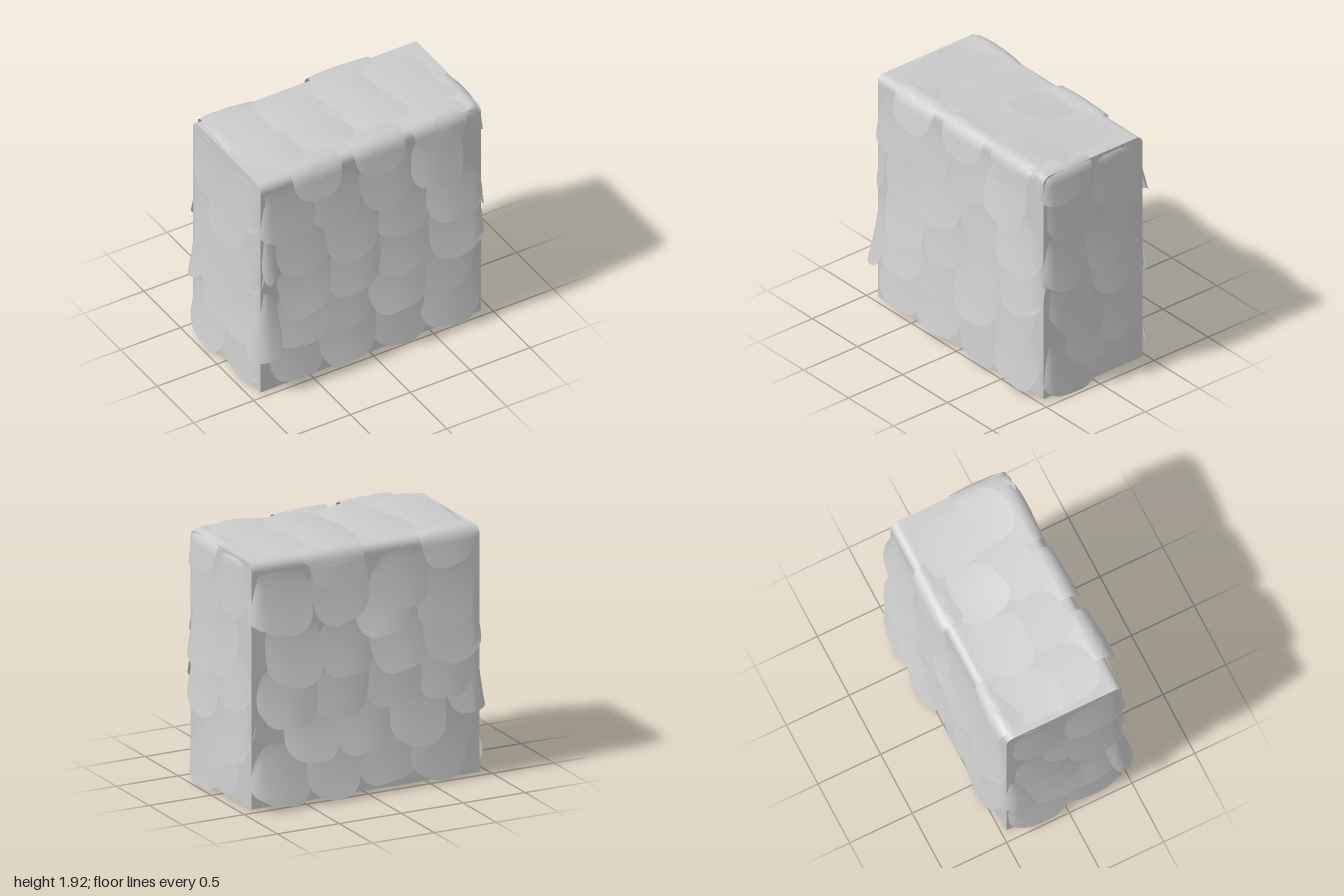
import * as THREE from 'three';

const HX = 0.92, HZ = 0.46, TOP = 1.84, R = 0.06;
const QUARTER = Math.PI / 2;

// Small seeded generator for the natural variation of the leaves
let seed = 7;
const jitter = (range) => {
  seed = (seed * 16807) % 2147483647;
  return (seed / 2147483647 - 0.5) * 2 * range;
};

// Fold a distance s, measured along a face, round the rounded edge at +-H.
// d is the height above the face. Returns [position along face, height].
function fold(s, d, H) {
  const over = Math.abs(s) - (H - R);
  if (over <= 0) return [s, d];
  const t = Math.min(over / R, QUARTER);
  const rest = Math.max(0, over - R * QUARTER);
  return [Math.sign(s) * (H - R + (R + d) * Math.sin(t)), (R + d) * Math.cos(t) - R - rest];
}

// Shingle rows from the bottom up: [height, leaf count, sideways shift, spacing]
const FACES = [
  { name: 'front', turn: [0, 0], depth: HZ, half: HX, edge: TOP, lift: 0.065, slope: 0, rows: [
    [0.25, 4, 0.01], [0.57, 4, 0], [0.86, 4, 0.05], [1.2, 4, 0.04], [1.52, 4, -0.09], [1.84, 3, 0.06, 0.53]] },
  { name: 'back', turn: [0, 2], depth: HZ, half: HX, edge: TOP, lift: 0.08, slope: 0, rows: [
    [0.25, 4, -0.06], [0.54, 3, -0.03], [0.83, 4, 0], [1.11, 4, 0.04], [1.36, 2, 0.36, 0.52],
    [1.54, 3, -0.22, 0.48], [1.79, 2, 0.2, 0.92]] },
  { name: 'left', turn: [0, 1], depth: HX, half: HZ, edge: TOP, lift: 0.055, slope: 0.3, rows: [
    [0.27, 2, -0.08, 0.32], [0.46, 2, 0.1, 0.28], [0.82, 2, 0], [1.14, 2, -0.08, 0.3], [1.55, 2, 0], [1.86, 1, -0.25]] },
  { name: 'right', turn: [0, -1], depth: HX, half: HZ, edge: TOP, lift: 0.045, slope: 0, rows: [
    [0.25, 2, 0], [0.57, 2, 0.09, 0.3], [0.8, 1, -0.1], [1.06, 2, 0.04], [1.32, 1, 0.04], [1.56, 2, 0.02]] },
  { name: 'top', turn: [-1, 0], depth: TOP, half: HX, edge: HZ, lift: 0.04, slope: 0, rows: [
    [0.17, 4, -0.06, 0.44], [-0.14, 4, 0, 0.44]] }
];

// Odd leaves at the corners: [across, up, width, height, turn in degrees, tip lift]
const STRAYS = {
  front: [[-0.85, 1.19, 0.11, 0.44, 2, 0.04], [-0.9, 0.6, 0.24, 0.54, 6, 0.09]],
  back: [[0.86, 0.7, 0.46, 0.42, 3, 0.05]],
  top: [[0.28, 0.42, 0.52, 0.22, 178, 0.04]]
};

// Lay out the shingle rows of one face
function rowLeaves({ rows, lift, slope }) {
  return rows.flatMap(([y, count, shift, step = 0.42]) =>
    Array.from({ length: count }, (_, c) => {
      const x = shift + (c - (count - 1) / 2) * step;
      return [x + jitter(0.015), y + slope * x + jitter(0.02), 0.45 + jitter(0.025),
        0.44 + jitter(0.025), jitter(7), lift * (1 + jitter(0.4))];
    }));
}

// A thin rounded-square leaf whose lower tip lifts off the face it lies on
function leafGeometry(face, [ca, cb, w, h, turn, lift]) {
  const g = new THREE.PlaneGeometry(2, 2, 16, 16), p = g.attributes.position;
  const angle = THREE.MathUtils.degToRad(turn), c = Math.cos(angle), s = Math.sin(angle);
  const lean = jitter(0.008), phase = jitter(3);
  for (let k = 0; k < p.count; k++) {
    let x = p.getX(k), y = p.getY(k);
    // Square to superellipse
    const m = Math.max(Math.abs(x), Math.abs(y));
    if (m > 0) {
      const f = m / Math.cbrt(Math.abs(x) ** 3 + Math.abs(y) ** 3);
      x *= f;
      y *= f;
    }
    const t = Math.max(0, (1 - y) / 2);
    const d = Math.max(0.004, 0.01 + lift * t ** 1.4 - 0.012 * x * x + lean * x);
    const lx = x * (1 + 0.05 * y + 0.03 * Math.sin(3 * y + phase)) * w / 2;
    const ly = y * h / 2 + 0.015 * Math.sin(2.5 * x + phase);
    const [a, n1] = fold(ca + lx * c - ly * s, d, face.half);
    const [b, n2] = fold(cb + lx * s + ly * c, d, face.edge);
    p.setXYZ(k, a, b, face.depth + n1 + n2 - d);
  }
  g.computeVertexNormals();
  return g;
}

export function createModel() {
  seed = 7;
  const model = new THREE.Group();
  model.name = 'leafyHedgeBlock';
  const mat = new THREE.MeshStandardMaterial({ color: 0xcccccc, side: THREE.DoubleSide });
  const add = (geo, name, parent) => {
    const mesh = new THREE.Mesh(geo, mat);
    mesh.name = name;
    parent.add(mesh);
    return mesh;
  };

  // Body shell: one sheet folded over the top, open underneath
  const length = 2 * (HZ - R) + Math.PI * R + 2 * (TOP - R);
  const shell = new THREE.PlaneGeometry(2 * HX, length, 1, 240), p = shell.attributes.position;
  for (let k = 0; k < p.count; k++) {
    const [z, n] = fold(-p.getY(k), 0, HZ);
    p.setXYZ(k, p.getX(k), TOP + n, z);
  }
  shell.computeVertexNormals();
  add(shell, 'bodyShell', model);

  // Flat end walls with rounded upper corners
  const end = new THREE.Shape();
  end.moveTo(-HZ, 0).lineTo(HZ, 0).lineTo(HZ, TOP - R);
  end.absarc(HZ - R, TOP - R, R, 0, QUARTER, false);
  end.absarc(-HZ + R, TOP - R, R, QUARTER, Math.PI, false);
  for (const side of [-1, 1]) {
    const wall = add(new THREE.ShapeGeometry(end, 8), side > 0 ? 'leftEndWall' : 'rightEndWall', model);
    wall.rotation.y = side * QUARTER;
    wall.position.x = side * HX;
  }

  // Overlapping leaves on every face
  for (const face of FACES) {
    const group = new THREE.Group();
    group.name = face.name + 'Leaves';
    group.rotation.set(face.turn[0] * QUARTER, face.turn[1] * QUARTER, 0);
    for (const leaf of [...rowLeaves(face), ...(STRAYS[face.name] ?? [])]) {
      add(leafGeometry(face, leaf), face.name + 'Leaf', group);
    }
    model.add(group);
  }
  return model;
}
